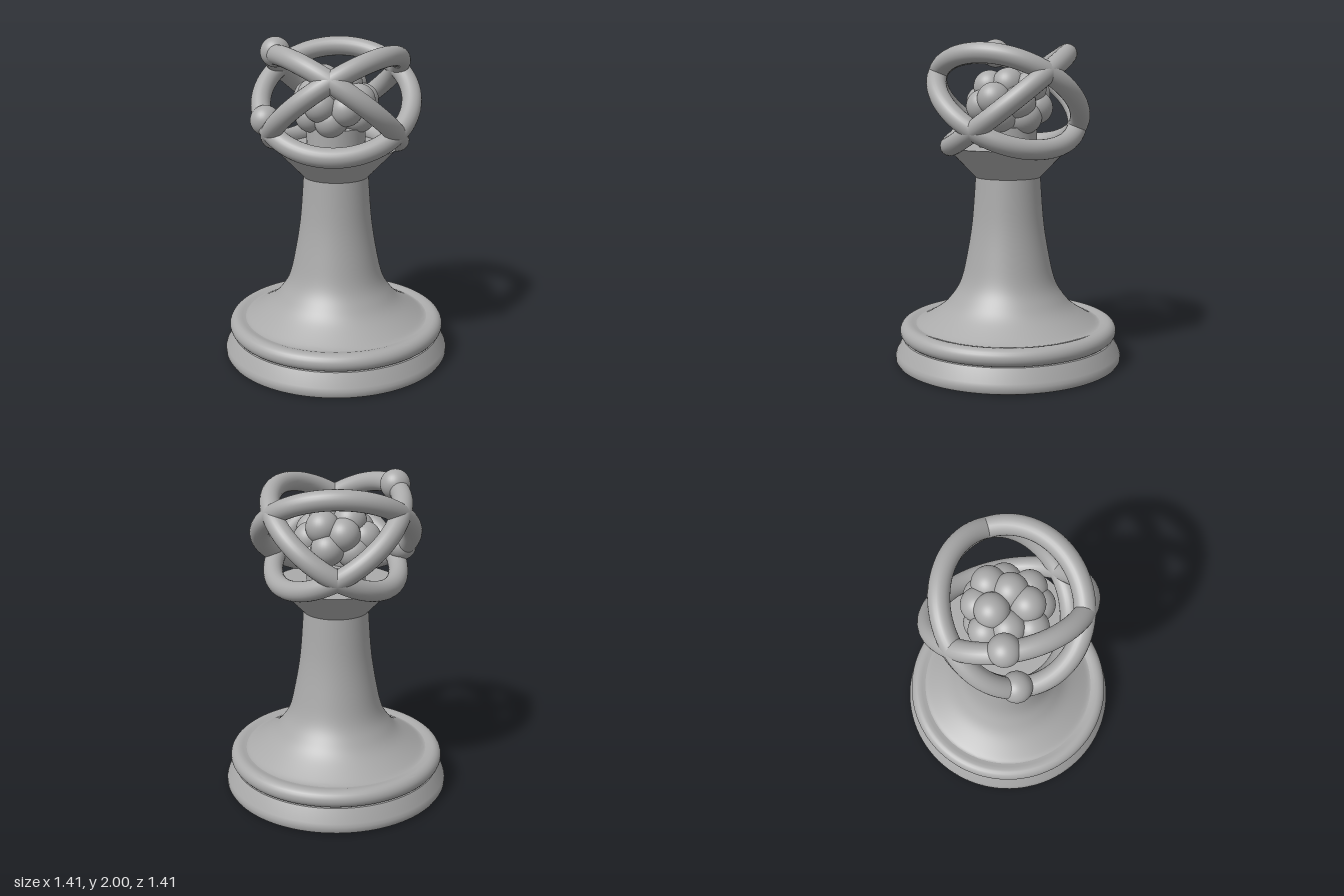
import * as THREE from 'three';
import { toCreasedNormals } from 'three/addons/utils/BufferGeometryUtils.js';

const CENTRE_Y = 1.62;   // middle of the atom
const RING_R = 0.453;
const TILT = THREE.MathUtils.degToRad(38);

export function createModel() {
  const group = new THREE.Group();
  const grey = new THREE.MeshStandardMaterial({ color: 0xaaaaaa });
  grey.name = 'grey';

  function add(name, geometry, x = 0, y = 0, z = 0) {
    const mesh = new THREE.Mesh(geometry, grey);
    mesh.name = name;
    mesh.position.set(x, y, z);
    group.add(mesh);
    return mesh;
  }

  // turned part from [radius, height] points, bottom to top
  function turned(name, points) {
    const profile = points.map(([r, y]) => new THREE.Vector2(r, y));
    return add(name, toCreasedNormals(new THREE.LatheGeometry(profile, 96), 0.5));
  }

  // half-round edge between two heights
  function roundEdge(r, y, radius, steps = 12) {
    const points = [];
    for (let i = 0; i <= steps; i++) {
      const a = -Math.PI / 2 + Math.PI * i / steps;
      points.push([r + radius * Math.cos(a), y + radius * Math.sin(a)]);
    }
    return points;
  }

  // foot and rounded rim
  turned('foot', [[0, 0], [0.685, 0], [0.698, 0.006], [0.705, 0.02],
    [0.705, 0.045], [0.698, 0.065], [0.655, 0.145], [0, 0.145]]);
  turned('rim', [[0, 0.143], ...roundEdge(0.623, 0.196, 0.053),
    [0.6, 0.246], [0.58, 0.239], [0, 0.239]]);

  // flared column
  const flare = new THREE.SplineCurve([[0.59, 0.238], [0.545, 0.25], [0.42, 0.33],
    [0.35, 0.405], [0.295, 0.5], [0.258, 0.65], [0.222, 0.87], [0.2, 1.15]]
    .map(([r, y]) => new THREE.Vector2(r, y)));
  turned('column', flare.getPoints(48).map(p => [p.x, p.y]));

  // cone-shaped head and the stub that carries the nucleus
  turned('head', [[0.2, 1.15], [0.378, 1.335], [0, 1.335]]);
  turned('nucleusStub', [[0.178, 1.33], [0.178, 1.46], [0, 1.46]]);

  // three tilted orbits, each turned a third about the vertical
  for (let i = 0; i < 3; i++) {
    const ring = add('orbit', new THREE.TorusGeometry(RING_R, 0.06, 24, 96), 0, CENTRE_Y, 0);
    ring.rotation.order = 'YXZ';
    ring.rotation.set(Math.PI / 2 + TILT, i * Math.PI * 2 / 3, 0);
  }

  // electrons sitting on the orbits
  for (const p of [[-0.352, 1.907, 0.068], [-0.408, 1.515, 0.15]]) {
    add('electron', new THREE.SphereGeometry(0.09, 32, 24), ...p);
  }

  // nucleus: packed balls
  const balls = [
    [-0.08, 1.72, -0.07], [0.06, 1.715, 0], [0.01, 1.70, 0.11], [0.08, 1.695, -0.13],
    [-0.13, 1.65, 0.03], [-0.165, 1.62, -0.085], [-0.04, 1.655, -0.16], [0.14, 1.63, 0.09],
    [0.155, 1.61, -0.06], [-0.08, 1.605, 0.155], [0.07, 1.585, 0.155], [0.05, 1.575, -0.17],
    [-0.1, 1.55, -0.13], [-0.14, 1.53, 0.07], [0.14, 1.53, 0.05], [0.11, 1.52, -0.1],
    [-0.02, 1.51, 0.13], [-0.06, 1.49, -0.05], [0.05, 1.48, 0], [0, 1.6, 0],
  ];
  for (const p of balls) add('nucleon', new THREE.SphereGeometry(0.1, 32, 24), ...p);

  return group;
}
